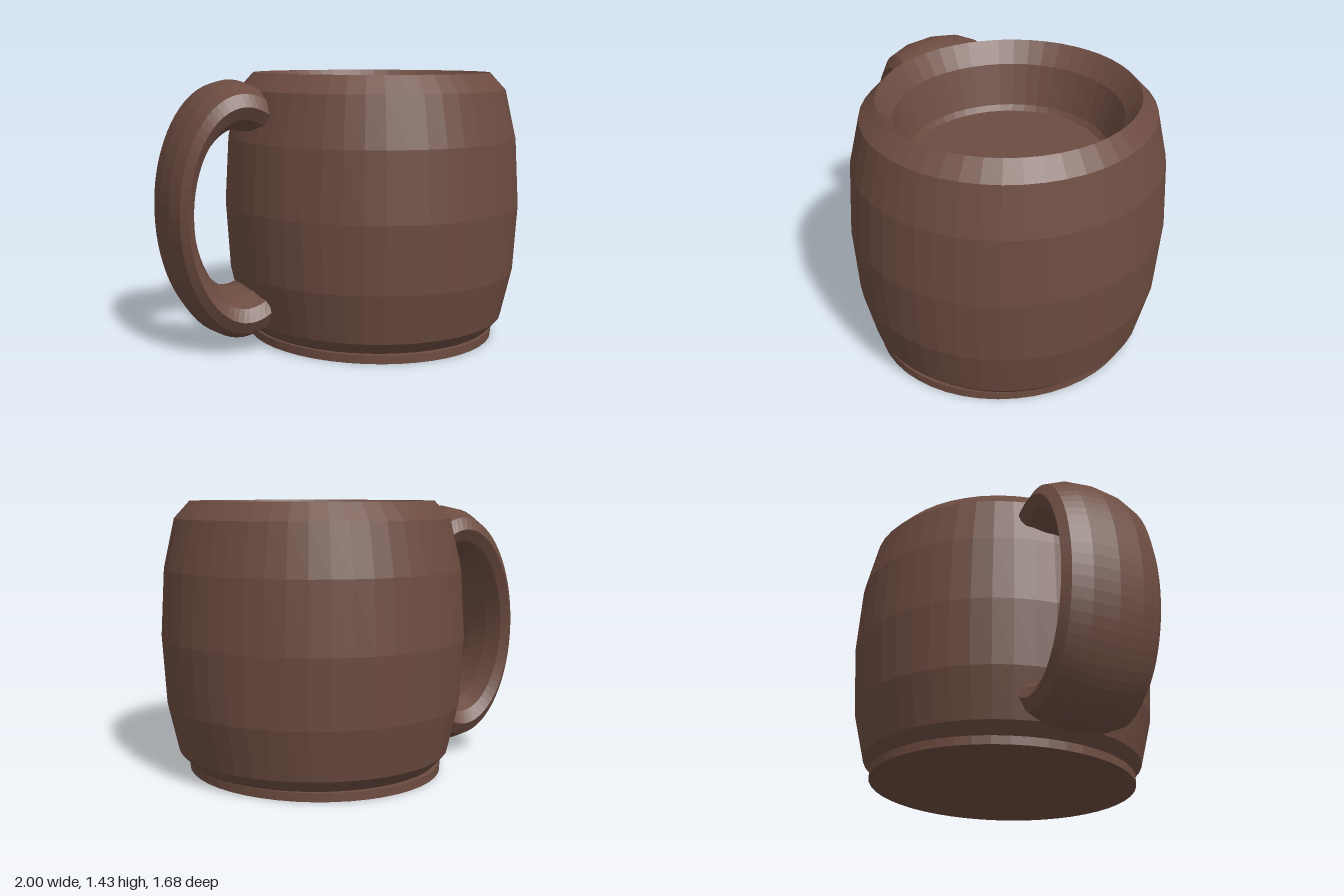
import * as THREE from 'three';

export function createModel() {
  const model = new THREE.Group();
  const clay = new THREE.MeshStandardMaterial({ color: 0x6d4c41, flatShading: true });
  clay.name = 'brown clay';

  function add(name, geometry, x = 0, y = 0) {
    const mesh = new THREE.Mesh(geometry, clay);
    mesh.name = name;
    mesh.position.set(x, y, 0);
    model.add(mesh);
    return mesh;
  }

  // Barrel body: outer wall, sloping lip, inner wall and floor in one profile
  const profile = [
    [0, 0.045], [0.695, 0.045], [0.757, 0.11], [0.818, 0.37], [0.84, 0.72],
    [0.818, 1.08], [0.757, 1.34], [0.672, 1.43],
    [0.59, 1.32], [0.53, 1.1], [0.51, 1.07], [0, 1.07],
  ].map(([r, y]) => new THREE.Vector2(r, y));
  const body = add('body', new THREE.LatheGeometry(profile, 48), 0.2);
  body.scale.x = 0.952;

  // Thin oval foot
  const foot = add('foot', new THREE.CylinderGeometry(0.725, 0.725, 0.045, 48), 0.193, 0.0225);
  foot.scale.x = 0.92;

  // Handle: oval ring with a wide oval section, cut upright where it meets the body
  const cutX = 0.115, stretchY = 1.776, arcSteps = 40, sides = 12;
  const handle = new THREE.PlaneGeometry(1, 1, arcSteps + 2, sides);
  const pos = handle.attributes.position;
  for (let i = 0; i < pos.count; i++) {
    const column = Math.round((pos.getX(i) + 0.5) * (arcSteps + 2));
    const a = (pos.getY(i) + 0.5) * Math.PI * 2;
    const isCap = column === 0 || column === arcSteps + 2;
    const r = 0.3075 + (isCap ? 0 : 0.0725 * Math.cos(a));
    const z = isCap ? 0 : 0.28 * Math.sin(a);
    const start = Math.acos(cutX / r);
    const step = THREE.MathUtils.clamp(column - 1, 0, arcSteps) / arcSteps;
    const t = start + step * 2 * (Math.PI - start);
    pos.setXYZ(i, r * Math.cos(t), r * stretchY * Math.sin(t), z);
  }
  // The wrapped sheet must face outward from the section
  const idx = handle.index;
  const corner = (k) => new THREE.Vector3().fromBufferAttribute(pos, idx.getX(k));
  const mid = Math.floor(arcSteps / 2) * 6;
  const [p, q, s] = [corner(mid), corner(mid + 1), corner(mid + 2)];
  const normal = q.clone().sub(p).cross(s.clone().sub(p));
  if (normal.dot(p) < 0) {
    for (let k = 0; k < idx.count; k += 3) {
      const first = idx.getX(k);
      idx.setX(k, idx.getX(k + 1));
      idx.setX(k + 1, first);
    }
  }
  handle.computeVertexNormals();
  add('handle', handle, -0.62, 0.725);

  return model;
}
